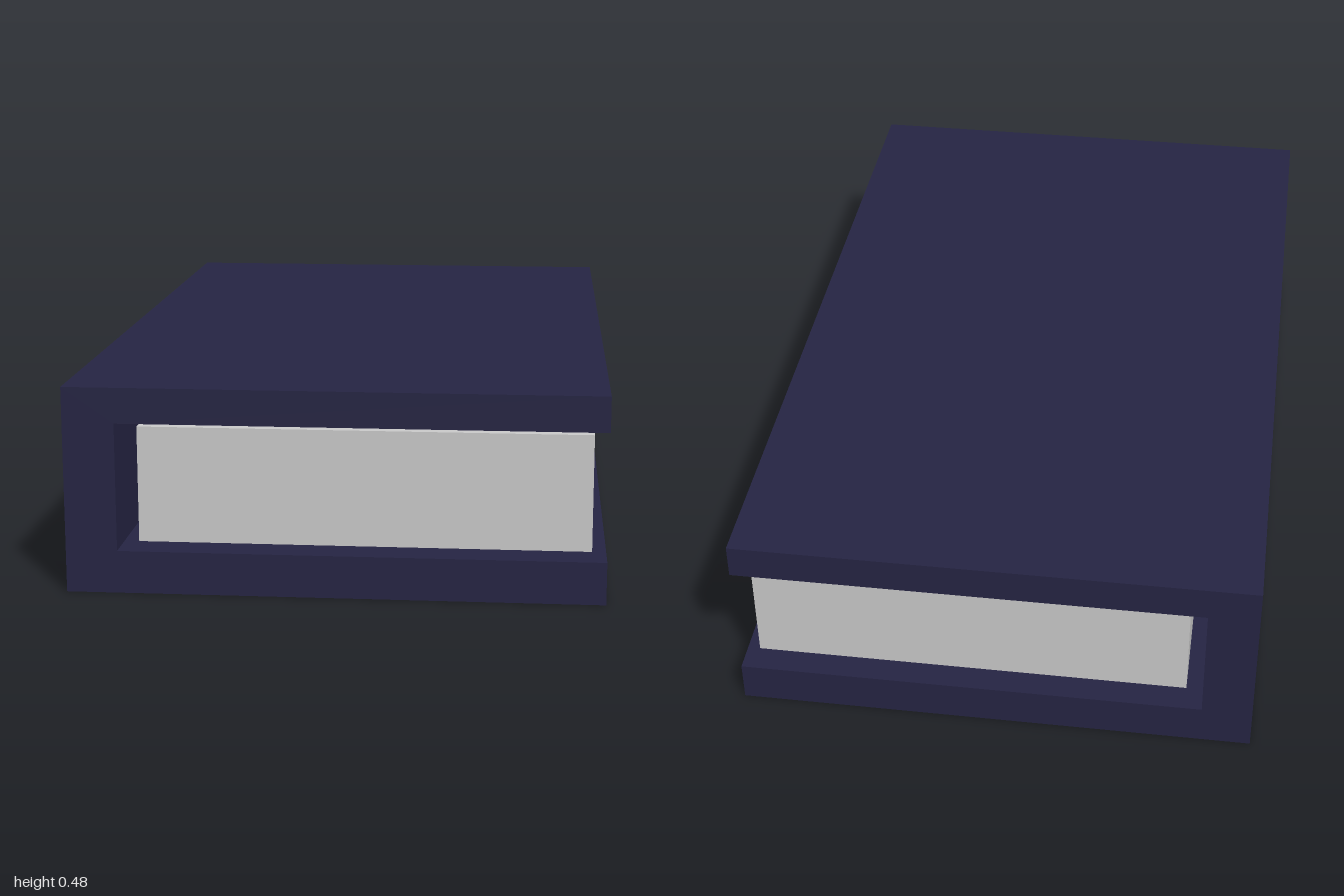
import * as THREE from 'three';

export function createModel() {
  const model = new THREE.Group();
  model.name = 'book';

  const coverMaterial = new THREE.MeshStandardMaterial({ color: 0x262544 });
  const pageMaterial = new THREE.MeshStandardMaterial({ color: 0xcccccc });

  // Cover: C-shaped section (bottom board, spine, top board) run along z
  const section = new THREE.Shape([
    [-0.62, 0], [0.62, 0], [0.62, 0.1], [-0.5, 0.1],
    [-0.5, 0.4], [0.62, 0.4], [0.62, 0.483], [-0.62, 0.483],
  ].map(([x, y]) => new THREE.Vector2(x, y)));
  const coverGeometry = new THREE.ExtrudeGeometry(section, { depth: 2, bevelEnabled: false });
  coverGeometry.translate(0, 0, -1);
  const cover = new THREE.Mesh(coverGeometry, coverMaterial);
  cover.name = 'cover';

  // Page block: set in from the cover on every side
  const pages = new THREE.Mesh(new THREE.BoxGeometry(1.046, 0.273, 1.888), pageMaterial);
  pages.name = 'pages';
  pages.position.set(0.064, 0.2455, 0.002);

  model.add(cover, pages);
  return model;
}
